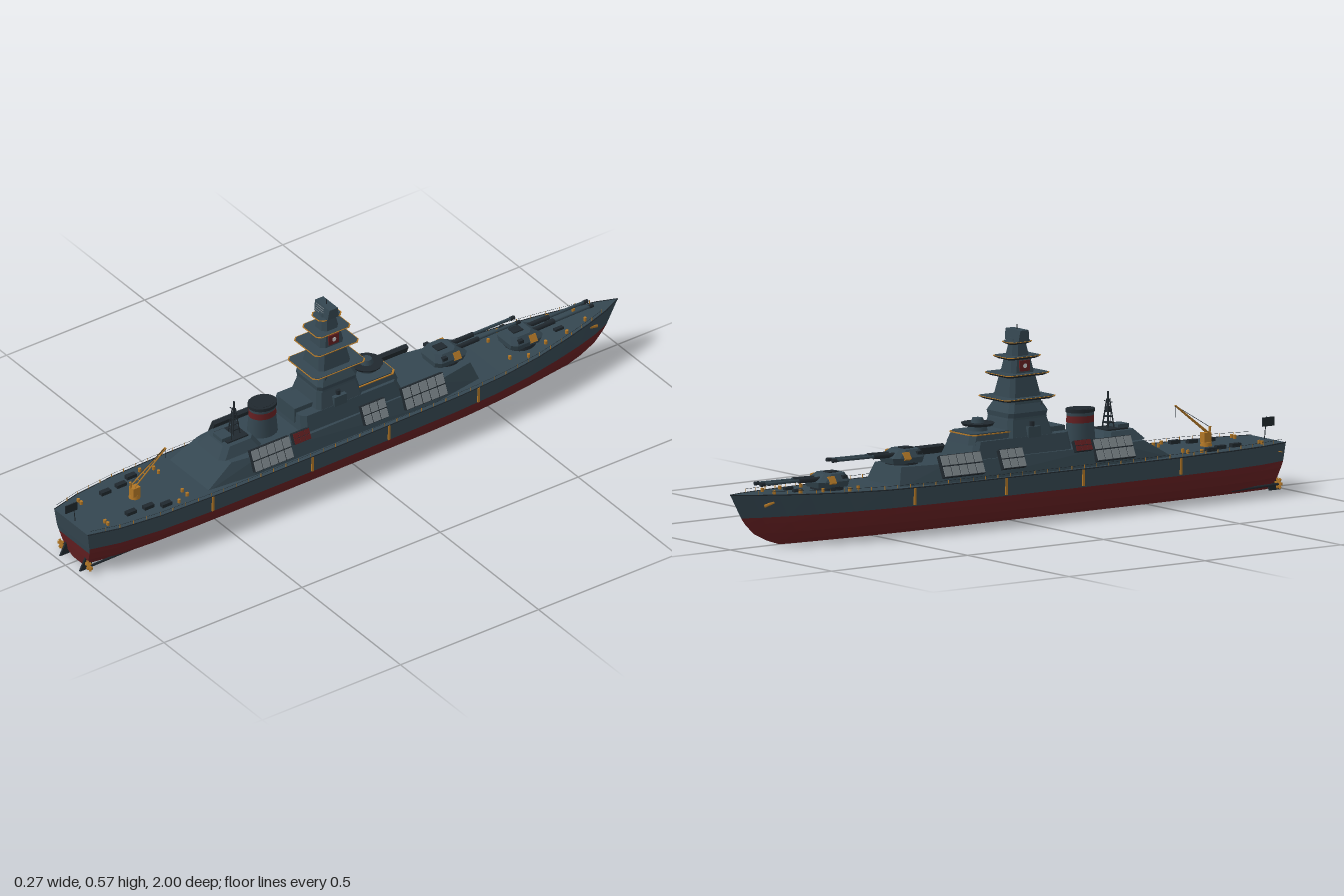
import * as THREE from 'three';
import { ConvexGeometry } from 'three/addons/geometries/ConvexGeometry.js';

const mat = (name, color, side = THREE.FrontSide) => {
  const m = new THREE.MeshStandardMaterial({ color, side });
  m.name = name;
  return m;
};

export function createModel() {
  const ship = new THREE.Group();
  ship.name = 'warship';
  const slate = mat('slate paint', 0x344650), red = mat('red paint', 0x641f21), dark = mat('dark steel', 0x20282e),
    orange = mat('orange trim', 0xb07626), grey = mat('light grey', 0x7c858a), white = mat('white', 0xc9cdcf);

  // ---- helpers ----
  const add = (name, geo, m, x = 0, y = 0, z = 0) => {
    const mesh = new THREE.Mesh(geo, m);
    mesh.name = name;
    mesh.position.set(x, y, z);
    ship.add(mesh);
    return mesh;
  };
  const box = (name, m, w, h, d, x, y, z) => add(name, new THREE.BoxGeometry(w, h, d), m, x, y, z);
  const cyl = (name, m, r0, r1, h, x, y, z, n = 12) => add(name, new THREE.CylinderGeometry(r1, r0, h, n), m, x, y, z);
  const rod = (name, m, r, a, b, n = 6) => {
    const p = new THREE.Vector3(...a), q = new THREE.Vector3(...b);
    const mesh = cyl(name, m, r, r, p.distanceTo(q), 0, 0, 0, n);
    mesh.position.copy(p).add(q).multiplyScalar(0.5);
    mesh.quaternion.setFromUnitVectors(new THREE.Vector3(0, 1, 0), q.sub(p).normalize());
    return mesh;
  };
  // symmetric convex block from rings of [y, [[half width, z], ...]]
  const block = (name, m, ...rings) => add(name, new ConvexGeometry(rings.flatMap(([y, pts]) =>
    pts.flatMap(([x, z]) => [new THREE.Vector3(x, y, z), new THREE.Vector3(-x, y, z)]))), m);
  // octagonal ring with clipped corners
  const oct = (w, z0, z1, c = 0.015) => [[w - c, z0], [w, z0 + c], [w, z1 - c], [w - c, z1]];
  const both = f => [-1, 1].forEach(f);

  // ---- hull: waterlines lofted from bow to transom ----
  const plan = [[0, 0], [0.03, 0.2], [0.07, 0.38], [0.12, 0.56], [0.18, 0.74], [0.25, 0.87], [0.33, 0.94],
    [0.45, 0.97], [0.6, 1], [0.78, 1], [0.88, 0.95], [0.95, 0.83], [1, 0.64]];
  const levels = [ // y, bow z, stern z, half width
    [0, -0.82, 0.955, 0.04], [0.015, -0.865, 0.958, 0.075], [0.04, -0.915, 0.963, 0.102],
    [0.07, -0.945, 0.968, 0.121], [0.09, -0.96, 0.972, 0.129], [0.145, -1, 0.98, 0.133]];
  const sheer = t => 0.018 * Math.pow(Math.max(0, 1 - t / 0.3), 1.5);
  const point = (i, j, s) => {
    const [t, k] = plan[i], [y, b, e, w] = levels[j];
    return [s * w * k, y + (j === 5 ? sheer(t) : 0), b + (e - b) * t];
  };
  const skin = { red: [], slate: [] };
  const quad = (list, a, b, c, d) => list.push(...a, ...b, ...c, ...a, ...c, ...d);
  const n = plan.length - 1;
  for (let j = 0; j < 5; j++) {
    const list = j < 4 ? skin.red : skin.slate;
    for (let i = 0; i < n; i++) {
      quad(list, point(i, j, 1), point(i, j + 1, 1), point(i + 1, j + 1, 1), point(i + 1, j, 1));
      quad(list, point(i, j, -1), point(i + 1, j, -1), point(i + 1, j + 1, -1), point(i, j + 1, -1));
    }
    quad(j < 3 ? skin.red : skin.slate, point(n, j, -1), point(n, j, 1), point(n, j + 1, 1), point(n, j + 1, -1));
  }
  for (let i = 0; i < n; i++) {
    quad(skin.slate, point(i, 5, -1), point(i + 1, 5, -1), point(i + 1, 5, 1), point(i, 5, 1));
    quad(skin.red, point(i, 0, -1), point(i, 0, 1), point(i + 1, 0, 1), point(i + 1, 0, -1));
  }
  [['lowerHull', skin.red, red], ['upperHullAndDeck', skin.slate, slate]].forEach(([name, list, m]) => {
    const g = new THREE.BufferGeometry();
    g.setAttribute('position', new THREE.Float32BufferAttribute(list, 3));
    g.computeVertexNormals();
    add(name, g, m);
  });
  const deck = z => { // half width and height of the deck edge at z
    const t = (z + 1) / 1.98;
    let i = 0;
    while (i < n - 1 && plan[i + 1][0] < t) i++;
    const [[a, p], [b, q]] = [plan[i], plan[i + 1]];
    return [0.133 * (p + (q - p) * (t - a) / (b - a)), 0.145 + sheer(t)];
  };

  // ---- hull fittings ----
  both(s => {
    for (let i = 0; i < n; i++) {
      const a = point(i, 5, s), b = point(i + 1, 5, s);
      rod('deckEdge', dark, 0.0018, a, b, 4);
    }
    for (let z = -0.92; z < 0.97; z += 0.045) {
      const [w, y] = deck(z), [w2, y2] = deck(Math.min(z + 0.045, 0.978));
      box('railPost', orange, 0.0015, 0.012, 0.0015, s * (w - 0.002), y + 0.006, z);
      rod('railWire', dark, 0.0005, [s * (w - 0.002), y + 0.011, z], [s * (w2 - 0.002), y2 + 0.011, Math.min(z + 0.045, 0.978)], 4);
    }
    [0.56, 0.2, -0.08, -0.41].forEach(z => {
      box('hullStripe', orange, 0.005, 0.05, 0.007, s * (deck(z)[0] - 0.0005), 0.119, z);
    });
    rod('anchor', orange, 0.005, [s * 0.035, 0.125, -0.9], [s * 0.041, 0.135, -0.87]);
    rod('propellerShaft', dark, 0.004, [s * 0.06, 0.014, 0.8], [s * 0.07, 0.02, 0.965]);
    for (let k = 0; k < 3; k++) {
      box('propellerBlade', orange, 0.034, 0.008, 0.004, s * 0.07, 0.022, 0.965).rotation.z = k * Math.PI / 3;
    }
    block('rudder', dark, [0, [[0.003, 0.945], [0.003, 0.985]]], [0.04, [[0.003, 0.935], [0.003, 0.965]]]).position.x = s * 0.05;
    // bollards, vents and deck lockers
    [[0.06, 0.9], [0.075, 0.9], [0.06, 0.62], [0.085, 0.62], [0.1, 0.66], [0.055, -0.7], [0.055, -0.57], [0.03, -0.86], [0.05, -0.78], [0.08, -0.62]].forEach(([x, z]) =>
      cyl('bollard', orange, 0.005, 0.005, 0.012, s * x, deck(z)[1] + 0.005, z, 8));
    [[0.065, 0.81], [0.09, 0.7], [0.07, 0.75]].forEach(([x, z]) =>
      box('deckLocker', dark, 0.016, 0.012, 0.034, s * x, 0.15, z));
    box('foredeckHatch', dark, 0.012, 0.008, 0.03, s * 0.022, 0.159, -0.77);
  });
  box('transomLine', orange, 0.024, 0.002, 0.002, -0.098, 0.122, 0.948);

  // ---- superstructure ----
  block('mainDeckhouse', slate,
    [0.14, [[0.085, -0.44], [0.112, -0.27], [0.115, 0.4], [0.1, 0.56]]],
    [0.2, [[0.065, -0.42], [0.092, -0.27], [0.1, 0.35], [0.085, 0.46]]]);
  block('aftHouse', slate, [0.2, oct(0.068, 0.33, 0.485)], [0.23, oct(0.05, 0.35, 0.455)]);
  box('aftHouseRoof', dark, 0.07, 0.005, 0.075, 0, 0.232, 0.4);
  box('aftHouseHatch', slate, 0.045, 0.012, 0.04, 0, 0.238, 0.43);
  block('towerBase', slate, [0.2, oct(0.088, -0.17, 0.2)], [0.25, oct(0.076, -0.15, 0.195)]);
  block('forwardBridge', slate, [0.24, oct(0.068, -0.165, 0.02)], [0.266, oct(0.062, -0.155, 0.02)]);
  block('bridgeRoofTrim', orange, [0.266, oct(0.064, -0.157, 0.02)], [0.269, oct(0.064, -0.157, 0.02)]);
  block('bridgeRoof', slate, [0.268, oct(0.06, -0.152, 0.02)], [0.272, oct(0.06, -0.152, 0.02)]);
  cyl('directorBase', slate, 0.03, 0.026, 0.02, 0, 0.28, -0.09, 16);
  cyl('directorDisc', dark, 0.045, 0.05, 0.008, 0, 0.291, -0.09, 16);
  cyl('directorCap', slate, 0.022, 0.016, 0.016, 0, 0.301, -0.09, 16);

  // ---- pagoda tower: tapered storeys with flared platforms ----
  const ring = (wx, wz) => oct(wx, 0.055 - wz, 0.055 + wz, 0.012);
  [[0.24, 0.078, 0.085, 0.3, 0.06, 0.072], [0.3, 0.063, 0.072, 0.36, 0.05, 0.055], [0.36, 0.052, 0.058, 0.43, 0.038, 0.045],
    [0.43, 0.038, 0.043, 0.48, 0.03, 0.034], [0.48, 0.029, 0.031, 0.535, 0.019, 0.022]].forEach(([a, w, d, b, u, v]) =>
    block('towerStorey', slate, [a, ring(w, d)], [b, ring(u, v)]));
  block('towerCollar', slate, [0.3, ring(0.06, 0.07)], [0.32, ring(0.066, 0.072)], [0.345, ring(0.053, 0.06)]);
  [[0.357, 0.075, 0.095], [0.427, 0.064, 0.08], [0.477, 0.047, 0.062], [0.519, 0.03, 0.042]].forEach(([y, w, d]) => {
    block('platform', dark, [y - 0.003, ring(w - 0.012, d - 0.012)], [y + 0.004, ring(w, d)]);
    block('platformTrim', orange, [y + 0.004, ring(w, d)], [y + 0.0055, ring(w, d)]);
    block('platformDeck', slate, [y + 0.004, ring(w - 0.003, d - 0.003)], [y + 0.0065, ring(w - 0.003, d - 0.003)]);
  });
  block('topRadar', slate, [0.526, [[0.034, 0.035], [0.034, 0.075]]], [0.56, [[0.037, 0.04], [0.037, 0.07]]]);
  for (let i = 0; i < 4; i++) box('radarSlot', grey, 0.04, 0.0015, 0.002, -0.01, 0.532 + i * 0.007, 0.0742 - i * 0.001);
  rod('topSpire', dark, 0.002, [0, 0.55, 0.055], [0, 0.575, 0.055]);
  both(s => {
    box('signalPanel', red, 0.005, 0.032, 0.036, s * 0.037, 0.455, 0.055);
    const dot = cyl('signalDisc', white, 0.007, 0.007, 0.006, s * 0.0375, 0.455, 0.055, 12);
    dot.rotation.z = Math.PI / 2;
    rod('yardArm', dark, 0.001, [s * 0.05, 0.325, 0.1], [s * 0.064, 0.35, 0.1]);
    box('wingCabin', slate, 0.026, 0.032, 0.045, s * 0.067, 0.262, 0.06);
    cyl('searchLight', dark, 0.008, 0.008, 0.014, s * 0.066, 0.285, 0.06, 10);
  });
  box('rearCabin', slate, 0.085, 0.05, 0.07, 0, 0.24, 0.165);

  // ---- funnel ----
  [['funnel', slate, 0.2, 0.265, 0.041, 0.036], ['funnelBand', red, 0.262, 0.282, 0.0372, 0.0362], ['funnelTop', slate, 0.28, 0.295, 0.036, 0.036],
    ['funnelRim', dark, 0.292, 0.302, 0.039, 0.039]].forEach(([name, m, a, b, r0, r1]) => {
    cyl(name, m, r0, r1, b - a, 0, (a + b) / 2, 0.287, 20).scale.z = 1.18;
  });
  cyl('funnelMouth', dark, 0.03, 0.03, 0.002, 0, 0.302, 0.287, 20).scale.z = 1.18;

  // ---- lattice mast ----
  both(s => both(e => rod('mastLeg', dark, 0.0022, [s * 0.014, 0.23, 0.39 + e * 0.012], [s * 0.003, 0.32, 0.39 + e * 0.003])));
  for (let i = 0; i < 4; i++) {
    const y = 0.25 + i * 0.018, w = 0.026 - i * 0.005;
    box('mastBrace', dark, w, 0.003, w, 0, y, 0.39);
  }
  rod('mastTop', dark, 0.003, [0, 0.3, 0.39], [0, 0.343, 0.39]);
  rod('mastYard', dark, 0.0014, [-0.02, 0.312, 0.39], [0.02, 0.312, 0.39]);
  box('mastBox', dark, 0.012, 0.018, 0.012, 0, 0.29, 0.39);
  rod('whipAerial', dark, 0.001, [0.03, 0.23, 0.42], [0.03, 0.315, 0.42]);

  // ---- inclined side launchers ----
  const rack = (z0, z1, cols, rows, h, m, x, y) => both(s => {
    const g = new THREE.Group();
    g.name = 'sideLauncher';
    const d = (z1 - z0) / cols, r = h / rows;
    const back = new THREE.Mesh(new THREE.BoxGeometry(0.014, h, z1 - z0), dark);
    back.name = 'launcherFrame';
    g.add(back);
    for (let i = 0; i < cols; i++) for (let k = 0; k < rows; k++) {
      const tile = new THREE.Mesh(new THREE.BoxGeometry(0.009, r * 0.88, d * 0.88), m);
      tile.name = 'launcherCell';
      tile.position.set(s * 0.005, (k + 0.5) * r - h / 2, (i + 0.5) * d - (z1 - z0) / 2);
      g.add(tile);
    }
    g.position.set(s * x, y, (z0 + z1) / 2);
    g.rotation.z = s * 0.42;
    ship.add(g);
  });
  rack(0.26, 0.4, 5, 2, 0.068, grey, 0.104, 0.19);
  rack(-0.085, 0, 3, 2, 0.06, grey, 0.104, 0.195);
  rack(-0.3, -0.15, 5, 2, 0.068, grey, 0.1, 0.193);
  rack(0.19, 0.25, 3, 2, 0.034, red, 0.1, 0.208);
  both(s => [-0.24, -0.04, 0.33].forEach(z => box('launcherFoot', slate, 0.02, 0.035, 0.07, s * 0.095, 0.175, z)));

  // ---- twin gun turrets ----
  [[-0.645, 0.15, 0.2], [-0.37, 0.196, 0.21]].forEach(([z, y, len]) => {
    cyl('turretRing', dark, 0.05, 0.048, 0.012, 0, y + 0.004, z, 20);
    block('turretBody', slate, [y + 0.008, oct(0.045, z - 0.052, z + 0.055)], [y + 0.026, oct(0.051, z - 0.058, z + 0.057)],
      [y + 0.048, oct(0.036, z - 0.025, z + 0.048)]);
    box('turretHatch', dark, 0.03, 0.005, 0.035, 0, y + 0.049, z + 0.015);
    both(s => {
      box('turretPatch', orange, 0.008, 0.024, 0.024, s * 0.0455, y + 0.031, z - 0.015).rotation.z = s * 0.55;
      box('rangefinderEar', dark, 0.012, 0.01, 0.016, s * 0.046, y + 0.038, z + 0.03);
      rod('gunSleeve', dark, 0.0075, [s * 0.014, y + 0.033, z - 0.03], [s * 0.014, y + 0.035, z - 0.115], 10);
      rod('gunBarrel', slate, 0.0048, [s * 0.014, y + 0.035, z - 0.1], [s * 0.014, y + 0.037, z - 0.05 - len], 10);
      rod('gunMuzzle', dark, 0.006, [s * 0.014, y + 0.037, z - 0.04 - len], [s * 0.014, y + 0.037, z - 0.055 - len], 10);
    });
  });

  // ---- stern crane ----
  cyl('craneBase', orange, 0.018, 0.016, 0.012, 0, 0.151, 0.75, 12);
  box('craneCabin', orange, 0.022, 0.03, 0.026, 0.004, 0.17, 0.752);
  both(s => {
    rod('craneBoom', orange, 0.0022, [s * 0.008, 0.185, 0.755], [s * 0.002, 0.276, 0.637]);
  });
  for (let i = 1; i < 6; i++) box('craneRung', orange, 0.014 - i * 0.0015, 0.002, 0.002, 0, 0.185 + i * 0.015, 0.755 - i * 0.0197);
  rod('craneStay', dark, 0.0008, [0, 0.2, 0.765], [0, 0.276, 0.637]);
  rod('craneCable', dark, 0.0008, [0, 0.276, 0.637], [0, 0.24, 0.637]);
  rod('cranePost', orange, 0.004, [0, 0.18, 0.762], [0, 0.203, 0.765]);

  // ---- stern flag ----
  rod('flagStaff', dark, 0.0015, [0, 0.145, 0.965], [0, 0.212, 0.972]);
  box('flag', dark, 0.003, 0.027, 0.042, 0, 0.196, 0.979);

  return ship;
}
